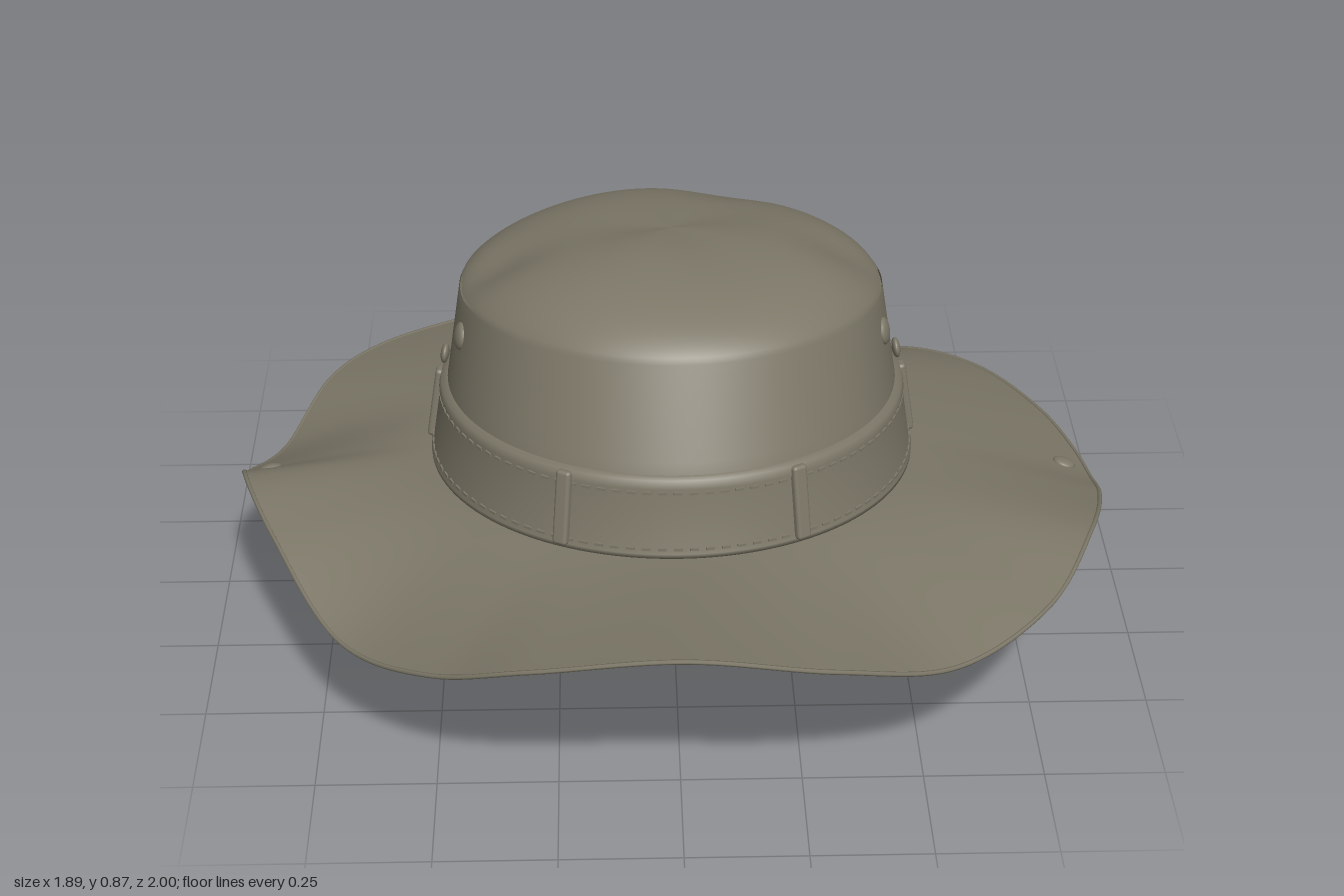
import * as THREE from 'three';
import { mergeGeometries } from 'three/addons/utils/BufferGeometryUtils.js';
import { RoundedBoxGeometry } from 'three/addons/geometries/RoundedBoxGeometry.js';

const { lerp } = THREE.MathUtils;
const V = (x, y, z) => new THREE.Vector3(x, y, z);

// Tilted elliptical sections of the crown: centre z, radii, height at z = 0, slope along z
const SECTIONS = [
  [-0.03, 0.515, 0.575, 0.35, 0.12],
  [-0.04, 0.49, 0.552, 0.515, 0.12],
  [-0.08, 0.457, 0.488, 0.735, 0.135],
];

// Point on the crown wall: v = 0 base, 1 band top, 2 rim of the top
function wall(a, v, off = 0) {
  const i = v < 1 ? 0 : 1;
  const [cz, rx, rz, y0, slope] = SECTIONS[i].map((p, k) => lerp(p, SECTIONS[i + 1][k], v - i));
  const z = cz + (rz + off) * Math.sin(a);
  return V((rx + off) * Math.cos(a), y0 + slope * z, z);
}

// Soft, slightly dented top of the crown: s = 1 rim, 0 centre
function crownTop(a, s) {
  const rim = wall(a, 2);
  const cz = SECTIONS[2][0];
  const x = rim.x * s, z = cz + (rim.z - cz) * s;
  let y = 0.735 + 0.135 * z + 0.115 * Math.pow(Math.max(0, 1 - Math.pow(s, 3.5)), 0.8);
  const dent = (px, pz, r, d) => d * Math.exp(-((x - px) ** 2 + (z - pz) ** 2) / (r * r));
  y -= dent(-0.38, -0.04, 0.1, 0.025) + dent(0.38, -0.08, 0.1, 0.02) + dent(0.12, -0.42, 0.1, 0.012);
  y += dent(0, 0.05, 0.16, 0.012) + 0.02 * s * (1 - s) * Math.sin(3 * a + 1);
  return V(x, y, z);
}

// Wavy outer edge of the brim, from the left side (+x) round by the front
const EDGE = new THREE.CatmullRomCurve3([
  [0.935, 0.25, 0], [0.93, 0.3, 0.15], [0.87, 0.365, 0.4], [0.76, 0.335, 0.62], [0.55, 0.325, 0.82],
  [0.3, 0.41, 0.95], [0, 0.472, 0.995], [-0.3, 0.42, 0.95], [-0.5, 0.33, 0.83], [-0.69, 0.27, 0.63],
  [-0.85, 0.335, 0.33], [-0.93, 0.345, 0.1], [-0.94, 0.26, -0.05], [-0.885, 0.17, -0.3],
  [-0.8, 0.205, -0.55], [-0.7, 0.205, -0.7], [-0.5, 0.18, -0.88], [-0.32, 0.17, -0.97],
  [-0.17, 0.11, -0.998], [0, 0.035, -0.985], [0.18, 0.004, -0.945], [0.4, 0.06, -0.88],
  [0.6, 0.15, -0.76], [0.75, 0.19, -0.6], [0.87, 0.215, -0.35], [0.92, 0.23, -0.15],
].map((p) => V(...p)), true);

// Point on the brim: t = 0 at the crown, 1 at the outer edge
function brimPoint(u, t) {
  const e = EDGE.getPoint(((u % 1) + 1) % 1);
  const [cz, rx, rz] = SECTIONS[0];
  const inner = wall(Math.atan2((e.z - cz) / rz, e.x / rx), 0);
  return V(lerp(inner.x, e.x, t), lerp(inner.y, e.y, Math.pow(t, 1.3)), lerp(inner.z, e.z, t));
}

// Closed ring surface from fn(u, row), u running 0..1 around
function ringSurface(rows, cols, fn) {
  const pos = [], idx = [];
  for (let r = 0; r <= rows; r++) {
    for (let c = 0; c < cols; c++) {
      pos.push(...fn(c / cols, r / rows).toArray());
      if (r === rows) continue;
      const a = r * cols + c, b = r * cols + (c + 1) % cols;
      idx.push(a, a + cols, b, b, a + cols, b + cols);
    }
  }
  const g = new THREE.BufferGeometry();
  g.setAttribute('position', new THREE.Float32BufferAttribute(pos, 3));
  g.setIndex(idx);
  g.computeVertexNormals();
  return g;
}

// Unit normal of a surface fn(u, v)
function normalAt(fn, u, v, flip = 1) {
  const e = 0.004, p = fn(u, v);
  const du = fn(u + e, v).sub(p), dv = fn(u, v + e).sub(p);
  return dv.cross(du).multiplyScalar(flip).normalize();
}

export function createModel() {
  const hat = new THREE.Group();
  hat.name = 'brimmedHat';
  const khaki = new THREE.MeshStandardMaterial({ color: 0x7d7868, side: THREE.DoubleSide });
  khaki.name = 'khaki cloth';
  const add = (name, geometry) => {
    const m = new THREE.Mesh(geometry, khaki);
    m.name = name;
    hat.add(m);
    return m;
  };
  const TAU = Math.PI * 2;

  // Brim and its hem
  add('brim', ringSurface(20, 200, (u, r) => brimPoint(u, 1 - r)));
  add('brimHem', new THREE.TubeGeometry(EDGE, 260, 0.005, 6, true));

  // Crown wall and soft top
  add('crown', ringSurface(48, 128, (u, r) => (r <= 0.4
    ? wall(u * TAU, r * 5)
    : crownTop(u * TAU, 1 - Math.pow((r - 0.4) / 0.6, 1.6)))));

  // Hat band with a thin top lip
  const bandRows = [[0, 0], [0, 0.014], [0.06, 0.016], [0.1, 0.012], [0.5, 0.012],
    [0.88, 0.012], [0.92, 0.016], [1.02, 0.014], [1.04, 0]];
  add('hatBand', ringSurface(8, 128, (u, r) => wall(u * TAU, ...bandRows[Math.round(r * 8)])));

  // Stitches along both edges of the band
  const stitches = [];
  for (const v of [0.12, 0.86]) {
    for (let i = 0; i < 100; i++) {
      const a = (i / 100) * TAU;
      const p = wall(a, v, 0.012);
      const g = new THREE.BoxGeometry(0.006, 0.006, 0.018);
      g.rotateY(-a).translate(p.x, p.y, p.z);
      stitches.push(g);
    }
  }
  add('bandStitches', mergeGeometries(stitches));

  // Belt loops standing over the band
  for (const a of [1.06, Math.PI - 1.1, -0.05, Math.PI + 0.05, -1.06, Math.PI + 1.1]) {
    const low = wall(a, 0.04, 0.016), high = wall(a, 1.02, 0.016);
    const up = high.clone().sub(low);
    const loop = add('bandLoop', new RoundedBoxGeometry(0.034, up.length(), 0.022, 2, 0.008));
    up.normalize();
    const out = normalAt(wall, a, 0.5);
    const side = up.clone().cross(out).normalize();
    out.copy(side).cross(up);
    loop.quaternion.setFromRotationMatrix(new THREE.Matrix4().makeBasis(side, up, out));
    loop.position.copy(low.add(high).multiplyScalar(0.5));
  }

  // Round domed studs
  const stud = (name, p, n, r) => {
    const m = add(name, new THREE.SphereGeometry(r, 20, 12).scale(1, 0.4, 1));
    m.position.copy(p);
    m.quaternion.setFromUnitVectors(V(0, 1, 0), n);
  };
  // Vent eyelets and side studs, mirrored
  for (const [a, v, r, off] of [[0.26, 1.65, 0.03, 0], [-0.29, 1.65, 0.03, 0], [-0.05, 1.18, 0.023, 0.012]]) {
    for (const b of [a, Math.PI - a]) {
      stud(r > 0.025 ? 'ventEyelet' : 'sideStud', wall(b, v, off), normalAt(wall, b, v), r);
    }
  }
  // Snaps near the brim edge
  for (const [u, t] of [[0.987, 0.88], [12 / 26 - 0.006, 0.88]]) {
    stud('brimSnap', brimPoint(u, t), normalAt(brimPoint, u, t, -1), 0.026);
  }
  return hat;
}
